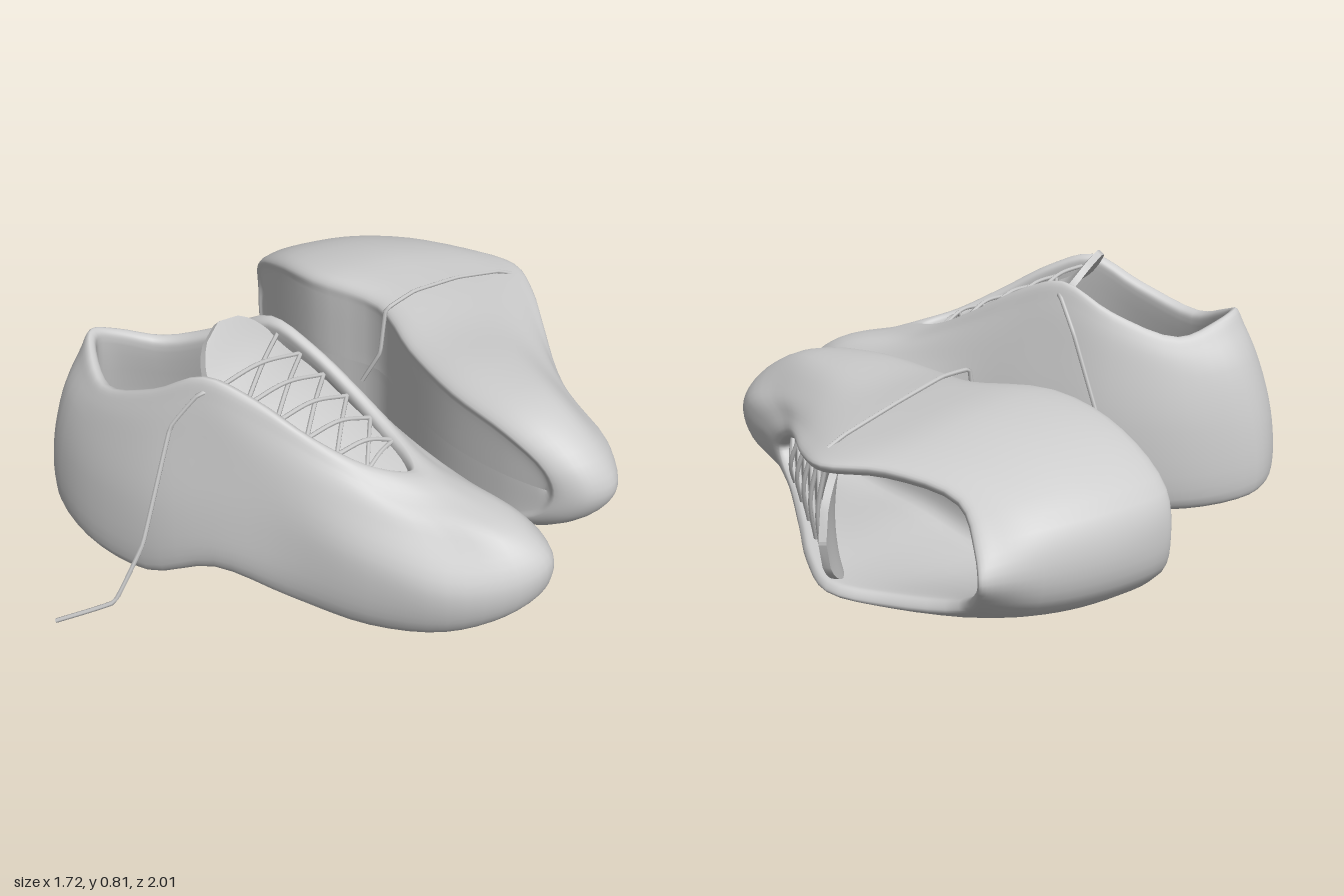
import * as THREE from 'three';

const V = (x, y, z) => new THREE.Vector3(x, y, z);
const lerp = THREE.MathUtils.lerp;
const material = new THREE.MeshStandardMaterial({ color: 0xcccccc });

// Half outlines [x, y, halfWidth], heel to toe, stacked from the sole to the rim
const soleEdge = [[-.85, .08, 0], [-.81, .06, .12], [-.62, .025, .22], [-.38, .025, .265], [-.14, .12, .25],
  [.1, .075, .22], [.35, .055, .2], [.57, .09, .16], [.7, .135, .08], [.73, .15, 0]];
const lowerSide = [[-.86, .13, 0], [-.83, .11, .12], [-.64, .07, .24], [-.37, .07, .29], [-.13, .17, .275],
  [.1, .14, .245], [.36, .13, .237], [.59, .16, .2], [.75, .2, .1], [.8, .22, 0]];
const midSide = [[-.845, .3, 0], [-.81, .3, .12], [-.63, .3, .235], [-.37, .3, .29], [-.13, .32, .27],
  [.1, .32, .24], [.36, .3, .235], [.59, .28, .205], [.76, .3, .1], [.81, .32, 0]];
const upperSide = [[-.785, .5, 0], [-.75, .49, .11], [-.59, .47, .21], [-.36, .5, .255], [-.15, .54, .235],
  [.06, .5, .215], [.31, .43, .18], [.53, .395, .13], [.68, .4, .07], [.72, .4, 0]];
const vamp = [[-.74, .6, 0], [-.7, .58, .09], [-.57, .55, .185], [-.36, .61, .225], [-.17, .68, .21],
  [.0, .63, .19], [.2, .54, .155], [.38, .47, .105], [.49, .458, .05], [.53, .455, 0]];
const rim = [[-.71, .655, 0], [-.67, .63, .07], [-.56, .588, .16], [-.35, .66, .2], [-.18, .745, .19],
  [-.03, .7, .168], [.13, .61, .14], [.27, .535, .09], [.355, .505, .04], [.385, .495, 0]];

const edit = (ring, f) => ring.map(p => f(...p));

function outline(half) {
  const back = half.slice(1, -1).reverse().map(([x, y, z]) => [x, y, -z]);
  return new THREE.CatmullRomCurve3([...half, ...back].map(p => V(...p)), true);
}

// Skins a closed surface through the stacked outlines
function bodyGeometry() {
  const rows = [
    edit(soleEdge, (x, y) => [x * .95, y, 0]),
    edit(soleEdge, (x, y, z) => [x * .97, y, z * .85]),
    soleEdge, lowerSide, midSide, upperSide, vamp, rim,
    edit(rim, (x, y, z) => [x * .97 - .002, y - .012, z * .87]),
    edit(rim, (x, y, z) => [x * .965 - .002, y - .05, z * .87]),
    edit(midSide, (x, y, z) => [x * .87, y - .02, z * .85]),
    edit(lowerSide, (x, y, z) => [x * .86, .16, z * .8]),
    edit(lowerSide, x => [x * .84, .155, 0]),
  ].map(outline);
  const cols = 72, levels = 60, pos = [], index = [];
  const columns = [];
  for (let j = 0; j < cols; j++)
    columns.push(new THREE.CatmullRomCurve3(rows.map(r => r.getPoint(j / cols))));
  for (let i = 0; i <= levels; i++)
    for (let j = 0; j < cols; j++) {
      pos.push(...columns[j].getPoint(i / levels).toArray());
      if (i === levels) continue;
      const a = i * cols + j, b = i * cols + (j + 1) % cols;
      index.push(a, b, a + cols, b, b + cols, a + cols);
    }
  const g = new THREE.BufferGeometry();
  g.setAttribute('position', new THREE.Float32BufferAttribute(pos, 3));
  g.setIndex(index);
  g.computeVertexNormals();
  return g;
}

// Thin arched strip with a rounded free end
function tongueGeometry() {
  const line = new THREE.CatmullRomCurve3([V(-.25, .8, 0), V(-.15, .695, 0), V(0, .63, 0), V(.2, .525, 0), V(.38, .45, 0)]);
  const g = new THREE.BoxGeometry(1, 1, 1, 32, 1, 12), p = g.attributes.position;
  for (let i = 0; i < p.count; i++) {
    const s = p.getX(i) + .5, t = p.getZ(i) * 2;
    const round = s < .25 ? Math.sqrt(Math.max(.001, 1 - (1 - s / .25) ** 2)) : 1;
    const w = lerp(.172, .06, Math.max(0, (s - .3) / .7)) * round;
    const c = line.getPoint(s), n = line.getTangent(s);
    const off = p.getY(i) * .022;
    p.setXYZ(i, c.x - n.y * off, c.y + n.x * off - .8 * (w * t) ** 2, w * t);
  }
  g.computeVertexNormals();
  return g;
}

function mesh(geometry, name) {
  const m = new THREE.Mesh(geometry, material);
  m.name = name;
  return m;
}

function cord(points, name, tension = 0.5, radius = .007) {
  const curve = new THREE.CatmullRomCurve3(points.map(p => V(...p)), false, 'catmullrom', tension);
  return mesh(new THREE.TubeGeometry(curve, 40, radius, 6), name);
}

function makeShoe(name) {
  const shoe = new THREE.Group();
  shoe.name = name;
  shoe.add(mesh(bodyGeometry(), 'shoeBody'), mesh(tongueGeometry(), 'tongue'));

  // Crossed lacing between paired eyelets
  const laces = new THREE.Group();
  laces.name = 'lacing';
  const eyelet = (k, side) => [lerp(-.15, .28, k / 5), lerp(.705, .51, k / 5), side * lerp(.175, .085, k / 5)];
  const over = (a, b, lift) => [a, a.map((v, i) => (v + b[i]) / 2 + (i === 1 ? lift : 0)), b];
  for (let k = 0; k < 5; k++)
    for (const side of [1, -1])
      laces.add(cord(over(eyelet(k, side), eyelet(k + 1, -side), side > 0 ? .024 : .014), 'crossedLace'));
  laces.add(cord(over(eyelet(5, 1), eyelet(5, -1), .012), 'frontLace'));
  shoe.add(laces);
  return shoe;
}

export function createModel() {
  const model = new THREE.Group();
  model.name = 'pairOfShoes';

  // Standing shoe, toe towards +x
  const standing = makeShoe('standingShoe');
  standing.position.z = .425;
  model.add(standing);

  // Second shoe lying on its side with the sole towards the first
  const lying = makeShoe('lyingShoe');
  const a = THREE.MathUtils.degToRad(28), c = Math.cos(a), s = Math.sin(a);
  lying.quaternion.setFromRotationMatrix(new THREE.Matrix4().makeBasis(V(c, 0, s), V(s, 0, -c), V(0, 1, 0)));
  lying.position.set(-.01, .298, -.095);
  model.add(lying);

  // Loose lace ends
  model.add(
    cord([[-.16, .7, .61], [-.18, .705, .64], [-.25, .6, .69], [-.28, .27, .83], [-.34, .09, .915], [-.5, .015, .995]], 'looseLaceLeft', .1),
    cord([[-.16, .7, .24], [-.18, .705, .21], [-.25, .6, .135], [-.37, .27, .09], [-.44, .09, .02], [-.5, .015, -.14]], 'looseLaceRight', .1),
    cord([[.2, .5, -.75], [.17, .525, -.7], [.09, .565, -.53], [.02, .59, -.34], [-.02, .575, -.21], [-.03, .42, -.19], [-.09, .3, -.18]], 'looseLaceUpper', .1),
    cord([[.2, .1, -.75], [.17, .07, -.7], [.09, .03, -.53], [.02, .008, -.34], [-.02, .008, -.24]], 'looseLaceLower', .1),
  );
  return model;
}
